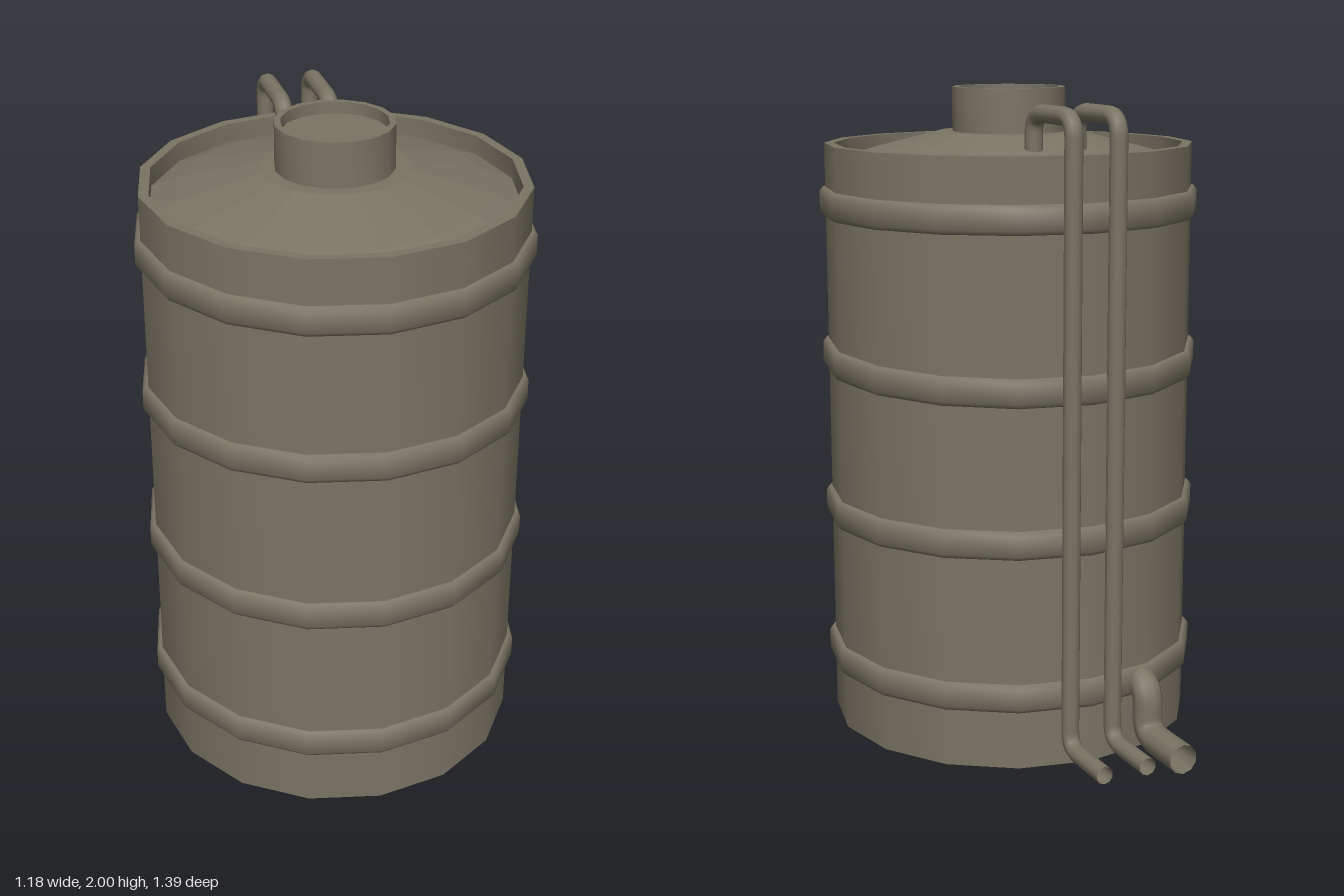
import * as THREE from 'three';
import { toCreasedNormals } from 'three/addons/utils/BufferGeometryUtils.js';

const SIDES = 16;
const steel = new THREE.MeshStandardMaterial({ color: 0x7a7464, side: THREE.DoubleSide });
steel.name = 'weathered steel';

// Revolved part; edges sharper than `crease` radians stay hard
function turned(name, profile, crease = 0.7) {
  const points = profile.map(([r, y]) => new THREE.Vector2(r, y));
  const mesh = new THREE.Mesh(toCreasedNormals(new THREE.LatheGeometry(points, SIDES), crease), steel);
  mesh.name = name;
  return mesh;
}

// Tube along straight runs joined by rounded elbows
function pipe(name, corners, radius, bend, segments) {
  const pts = corners.map((c) => new THREE.Vector3(...c));
  const path = new THREE.CurvePath();
  let from = pts[0];
  for (let i = 1; i < pts.length - 1; i++) {
    const towards = (p) => pts[i].clone().add(p.clone().sub(pts[i]).setLength(bend));
    const enter = towards(pts[i - 1]);
    const leave = towards(pts[i + 1]);
    path.add(new THREE.LineCurve3(from, enter));
    path.add(new THREE.QuadraticBezierCurve3(enter, pts[i], leave));
    from = leave;
  }
  path.add(new THREE.LineCurve3(from, pts[pts.length - 1]));
  const mesh = new THREE.Mesh(new THREE.TubeGeometry(path, segments, radius, 10), steel);
  mesh.name = name;
  return mesh;
}

export function createModel() {
  const model = new THREE.Group();
  model.name = 'storageTank';

  // Tank, standing a little forward of the pipework
  const tank = new THREE.Group();
  tank.name = 'tank';
  tank.position.set(0.002, 0, 0.105);
  model.add(tank);

  // Drum with a raised rim
  tank.add(turned('drum', [[0, 0], [0.57, 0], [0.57, 1.83], [0.54, 1.83], [0.54, 1.76]]));

  // Faceted sloping lid
  tank.add(turned('lid', [[0.545, 1.77], [0.46, 1.803], [0.22, 1.865], [0.14, 1.865]], 0.02));

  // Filler neck with a recessed cap
  tank.add(turned('neck', [[0.175, 1.85], [0.175, 2], [0.156, 2], [0.156, 1.965], [0, 1.965]]));

  // Reinforcing bands; the third one sits slightly crooked
  const bandProfile = [[0.56, -0.043], [0.578, -0.043], [0.588, -0.03],
    [0.588, 0.03], [0.578, 0.043], [0.56, 0.043]];
  [[0.223, 0, 0], [0.697, 0.003, 0], [1.175, -0.038, -0.008], [1.652, 0, 0]].forEach(([y, tiltX, tiltZ], i) => {
    const band = turned(`band${i + 1}`, bandProfile, 1);
    band.position.y = y;
    band.rotation.set(tiltX, 0, tiltZ);
    tank.add(band);
  });

  // Two thin pipes from the lid, over the rim and down the back
  [-0.066, 0.077].forEach((x, i) => {
    model.add(pipe(`ventPipe${i + 1}`, [
      [x, 1.78, -0.225], [x, 1.938, -0.225], [x, 1.938, -0.48],
      [x, 0.062, -0.48], [x, 0.062, -0.7],
    ], 0.027, 0.06, 180));
  });

  // Thick drain pipe at the foot of the drum
  model.add(pipe('drainPipe', [
    [-0.187, 0.222, -0.36], [-0.187, 0.222, -0.482], [-0.187, 0.062, -0.482], [-0.187, 0.062, -0.7],
  ], 0.046, 0.065, 40));

  return model;
}
